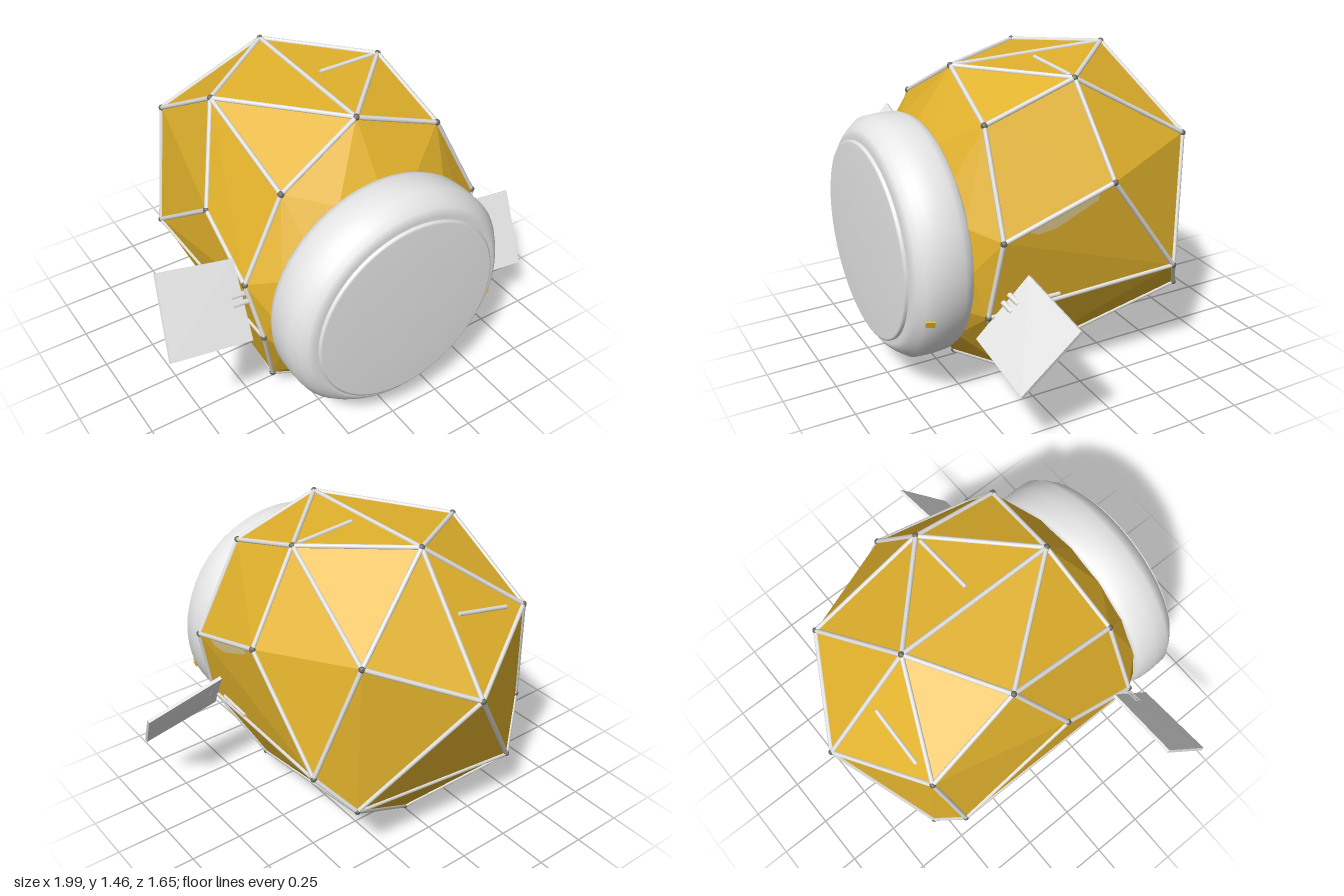
import * as THREE from 'three';
import { ConvexGeometry } from 'three/addons/geometries/ConvexGeometry.js';

const V = (x, y, z) => new THREE.Vector3(x, y, z);

// Frame joints: l = model's left (+x), r = right (-x), no suffix = middle
const joints = {
  topFront: V(0, 1.43, 0.38), topBack: V(0, 1.44, -0.385), tail: V(0.01, 0.905, -0.81),
  keelFront: V(-0.01, 0.012, 0.4), keelBack: V(0, 0.012, -0.32),
  roof_l: V(0.39, 1.42, -0.01), roof_r: V(-0.4, 1.39, -0.13),
  brow_l: V(0.4, 1.285, 0.42), brow_r: V(-0.39, 1.22, 0.42),
  shoulder_l: V(0.645, 1.03, -0.06), shoulder_r: V(-0.555, 0.98, 0.07),
  rear_l: V(0.44, 1.1, -0.55), rear_r: V(-0.43, 1.11, -0.58),
  cheek_l: V(0.62, 0.855, 0.45), cheek_r: V(-0.58, 0.83, 0.43),
  hip_l: V(0.6, 0.54, -0.42), hip_r: V(-0.53, 0.545, -0.49),
  heel_l: V(0.455, 0.36, -0.535), heel_r: V(-0.4, 0.305, -0.585),
  mount_l: V(0.55, 0.49, 0.49), mount_r: V(-0.53, 0.55, 0.49),
  chin_l: V(0.365, 0.12, 0.34), chin_r: V(-0.41, 0.14, 0.35),
  belly_r: V(-0.355, 0.11, 0.02),
};

// Struts; names ending in _ are repeated on both sides
const struts = [
  'topFront topBack', 'topBack tail', 'keelFront keelBack', 'heel_l heel_r',
  'topFront roof_', 'topFront brow_', 'topBack roof_', 'roof_ brow_', 'roof_ shoulder_',
  'roof_ rear_', 'topBack rear_', 'brow_ cheek_', 'shoulder_ cheek_', 'shoulder_ hip_',
  'rear_ hip_', 'rear_ tail', 'tail heel_', 'hip_ heel_',
  'hip_ mount_', 'cheek_ mount_', 'mount_ chin_', 'heel_ keelBack', 'chin_ keelFront',
  'heel_l chin_l', 'belly_r chin_r', 'belly_r heel_r', 'belly_r keelBack', 'belly_r keelFront',
];

// Point on the facet a, b, c: u along a-b, v along a-c, lifted outward
const onFacet = (a, b, c, u, v, lift) => {
  const ab = joints[b].clone().sub(joints[a]);
  const ac = joints[c].clone().sub(joints[a]);
  const n = ab.clone().cross(ac).normalize();
  return joints[a].clone().addScaledVector(ab, u).addScaledVector(ac, v).addScaledVector(n, lift);
};

export function createModel() {
  const model = new THREE.Group();
  const mat = (name, color) => {
    const m = new THREE.MeshStandardMaterial({ color });
    m.name = name;
    return m;
  };
  const gold = mat('gold foil', 0xe2b22c);
  const paleGold = mat('pale gold foil', 0xdfca8c);
  const white = mat('off white', 0xe8e8e8);
  const strutGrey = mat('strut white', 0xe4e2dd);
  const dark = mat('joint grey', 0x6b6963);

  const add = (name, geometry, material, parent = model) => {
    const mesh = new THREE.Mesh(geometry, material);
    mesh.name = name;
    parent.add(mesh);
    return mesh;
  };
  const rod = (name, a, b, radius, parent) => {
    const d = b.clone().sub(a);
    const mesh = add(name, new THREE.CylinderGeometry(radius, radius, d.length(), 8), strutGrey, parent);
    mesh.position.copy(a).add(b).multiplyScalar(0.5);
    mesh.quaternion.setFromUnitVectors(V(0, 1, 0), d.normalize());
  };

  // Faceted foil shell, closed by a rim behind the front ring
  const rim = [];
  for (let i = 0; i < 16; i++) {
    const a = (i / 16) * Math.PI * 2;
    rim.push(V(0.51 * Math.cos(a), 0.69 + 0.51 * Math.sin(a), 0.55));
  }
  add('foilShell', new ConvexGeometry([...Object.values(joints), ...rim]), gold);

  // Frame of struts and ball joints
  const frame = new THREE.Group();
  frame.name = 'frame';
  model.add(frame);
  for (const line of struts) {
    const sides = /_( |$)/.test(line) ? ['_l', '_r'] : ['_'];
    for (const s of sides) {
      const [a, b] = line.split(' ').map((n) => joints[n.replace(/_$/, s)]);
      rod('strut', a, b, 0.011, frame);
    }
  }
  for (const p of Object.values(joints)) {
    add('joint', new THREE.SphereGeometry(0.015, 10, 8), dark, frame).position.copy(p);
  }

  // Short loose struts lying on the foil
  const loose = [
    ['rear_r', 'topBack', 'tail', 0.14, 0.11, 0.49, 0.39],
    ['roof_l', 'topBack', 'topFront', 0.04, 0.04, 0.4, 0.42],
    ['mount_l', 'hip_l', 'cheek_l', 0.14, 0.09, 0.36, 0.07],
  ];
  for (const [a, b, c, u0, v0, u1, v1] of loose) {
    rod('looseStrut', onFacet(a, b, c, u0, v0, 0.002), onFacet(a, b, c, u1, v1, 0.002), 0.01, frame);
  }

  // Worn patch of foil under the left shoulder strut
  const patch = [[0.2, 0], [0.85, 0], [0.78, 0.06], [0.5, 0.07], [0.35, 0.1], [0.22, 0.07]]
    .flatMap(([u, v]) => [-0.003, 0.005].map(
      (lift) => onFacet('cheek_l', 'hip_l', 'shoulder_l', v, u - v * 0.5, lift)));
  add('wornPatch', new ConvexGeometry(patch), paleGold);

  // Rounded front ring and the slightly domed disc inside it
  const turned = (name, profile, x) => {
    const mesh = add(name, new THREE.LatheGeometry(
      profile.map(([r, z]) => new THREE.Vector2(r, z)), 64), white);
    mesh.rotation.x = Math.PI / 2;
    mesh.position.set(x, 0.69, 0);
  };
  turned('frontRing', [[0, 0.53], [0.51, 0.53], [0.53, 0.55], [0.545, 0.585], [0.549, 0.65],
    [0.545, 0.72], [0.52, 0.755], [0.495, 0.782], [0.465, 0.8], [0, 0.8]], 0);
  turned('frontDisc', [[0.45, 0.785], [0.45, 0.812], [0.44, 0.816], [0.25, 0.822], [0, 0.824]], -0.005);

  // Small gold fleck on the ring's left flank
  const fleck = add('ringFleck', new THREE.BoxGeometry(0.008, 0.03, 0.04), gold);
  fleck.position.set(0.51, 0.507, 0.737);
  fleck.rotation.set(0, -0.45, -0.34);

  // Tilted side panels, each on a pair of short rods
  const panel = (name, corners, root, rodPlaces) => {
    const group = new THREE.Group();
    group.name = name;
    model.add(group);
    const [a, b, c, d] = corners;
    const n = b.clone().sub(a).cross(d.clone().sub(a)).normalize().multiplyScalar(0.008);
    const points = corners.flatMap((p) => [p.clone().add(n), p.clone().sub(n)]);
    add('panelPlate', new ConvexGeometry(points), white, group);
    for (const t of rodPlaces) {
      const end = a.clone().lerp(d, t).lerp(b.clone().lerp(c, t), 0.14);
      const start = root.clone().add(d.clone().sub(a).multiplyScalar(t - 0.5));
      rod('panelRod', start, end, 0.013, group);
    }
  };
  panel('leftPanel', [V(0.6, 0.67, 0.32), V(0.995, 0.6, 0.305),
    V(0.92, 0.325, 0.53), V(0.53, 0.39, 0.535)], V(0.5, 0.56, 0.45), [0.33, 0.45]);
  panel('rightPanel', [V(-0.58, 0.905, 0.33), V(-0.93, 0.98, 0.32),
    V(-0.995, 0.695, 0.54), V(-0.615, 0.62, 0.54)], V(-0.52, 0.755, 0.43), [0.45, 0.55]);

  return model;
}
